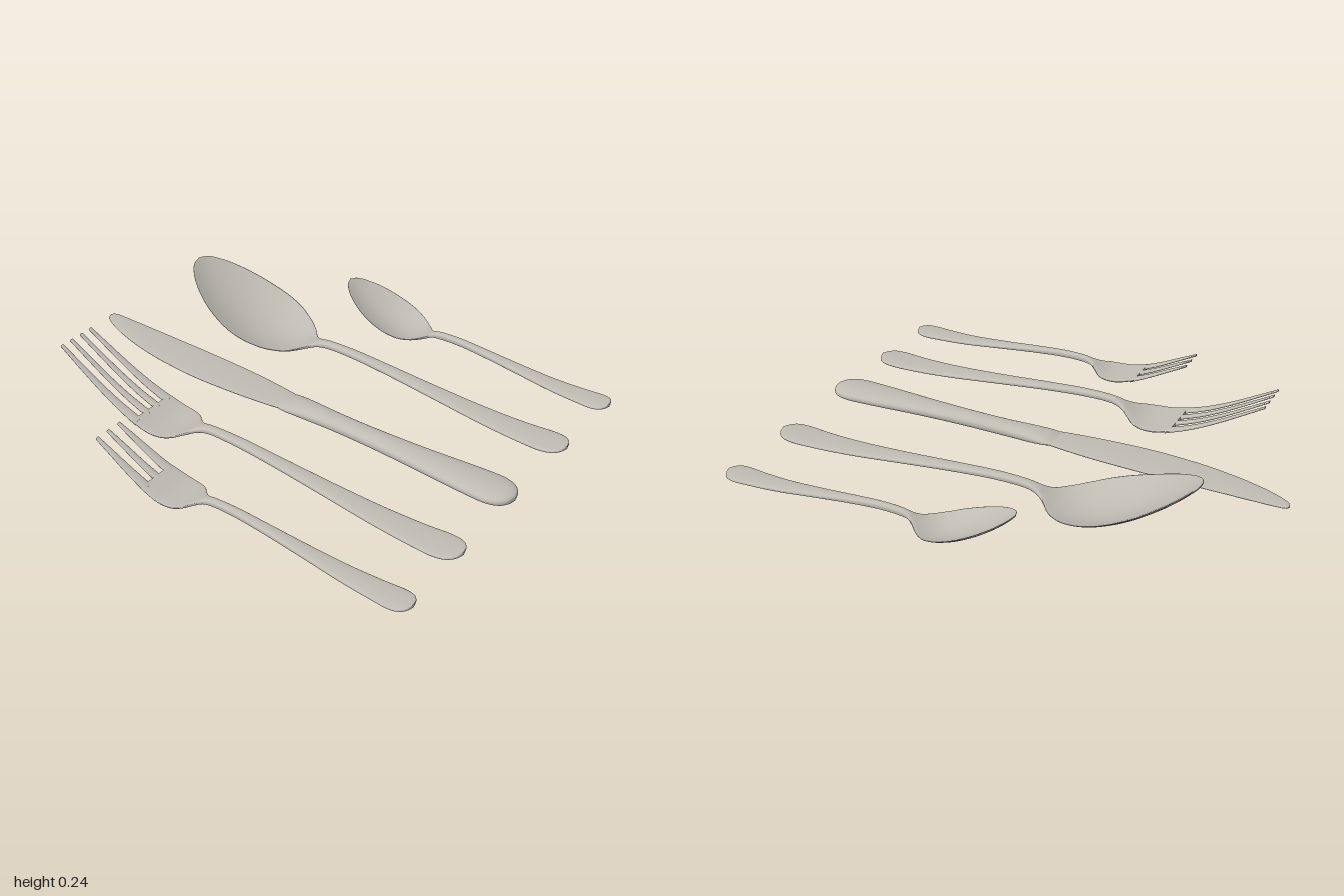
import * as THREE from 'three';

const steel = new THREE.MeshStandardMaterial({ color: 0xbfbbb3 });
steel.name = 'steel';

// Lofts a smooth solid through stations [z, halfWidth, y, thickness, cup, xOffset],
// listed from the near end (+z) to the far end (-z).
function loft(name, stations, { steps = 6, square = 0.65, sides = 36 } = {}) {
  const shape = new THREE.CatmullRomCurve3(
    stations.map(([z, w, y]) => new THREE.Vector3(w, y, z)), false, 'centripetal');
  const extra = new THREE.CatmullRomCurve3(
    stations.map(([, , , t, cup = 0, cx = 0]) => new THREE.Vector3(t, cup, cx)), false, 'catmullrom', 0.4);
  const pos = [], index = [];
  const n = (stations.length - 1) * steps;

  const addRing = (i) => {
    const p = shape.getPoint(i / n), e = extra.getPoint(i / n);
    const w = Math.max(p.x, 0.0005);
    for (let j = 0; j < sides; j++) {
      const a = (j / sides) * Math.PI * 2;
      const c = Math.cos(a), s = Math.sin(a);
      const rise = Math.sign(s) * Math.pow(Math.abs(s), square) * e.x / 2;
      pos.push(e.z + w * c, p.y + e.y * c * c + rise, p.z);
    }
  };

  for (let i = 0; i <= n; i++) addRing(i);
  for (let i = 0; i < n; i++) {
    for (let j = 0; j < sides; j++) {
      const k = (j + 1) % sides;
      const a = i * sides + j, b = i * sides + k;
      index.push(a, a + sides, b, b, a + sides, b + sides);
    }
  }
  // End caps with their own vertices; strips follow the cupped section
  for (const end of [0, n]) {
    const base = pos.length / 3;
    addRing(end);
    for (let j = 0; j < sides / 2; j++) {
      const a = base + j, b = base + j + 1;
      const c = base + (sides - j) % sides, d = base + sides - j - 1;
      if (end === 0) index.push(a, b, c, b, d, c);
      else index.push(a, c, b, b, c, d);
    }
  }
  const geo = new THREE.BufferGeometry();
  geo.setAttribute('position', new THREE.Float32BufferAttribute(pos, 3));
  geo.setIndex(index);
  geo.computeVertexNormals();
  const mesh = new THREE.Mesh(geo, steel);
  mesh.name = name;
  return mesh;
}

// Arched, flaring handle from the rounded end at z = 1 to the neck
function handleStations(neckZ, neckW, endW, peak) {
  const rows = [
    // distance along, flare, height, thickness
    [0, 0, 0.36, 0.014], [0.009, 0.5, 0.34, 0.016], [0.03, 0.84, 0.31, 0.018],
    [0.07, 1, 0.26, 0.019], [0.17, 0.87, 0.21, 0.02], [0.32, 0.64, 0.28, 0.021],
    [0.53, 0.34, 0.55, 0.023], [0.74, 0.12, 0.85, 0.026], [0.89, 0.02, 1, 0.028], [1, 0, 0.95, 0.028],
  ];
  return rows.map(([d, f, h, t], i) => [
    1 - d * (1 - neckZ),
    i < 3 ? endW * f : neckW + (endW - neckW) * f,
    Math.max(peak * h, t / 2 + 0.002), t,
  ]);
}

function piece(name, x, parts) {
  const g = new THREE.Group();
  g.name = name;
  g.position.x = x;
  g.add(...parts);
  return g;
}

// Tines: each is [rootX, rootHalf, tipX, tipHalf]; path is [z, y] from root to tip
function tines(list, path) {
  return list.map(([x0, w0, x1, w1]) => loft('tine', path.map(([z, y], i) => {
    const k = i / (path.length - 1);
    return [z, w0 + (w1 - w0) * k, y, 0.016 - 0.007 * k, 0, x0 + (x1 - x0) * k];
  }), { sides: 16, steps: 4 }));
}

const mirror = (list) => list.flatMap((t) => [t, [-t[0], t[1], -t[2], t[3]]]);

export function createModel() {
  const model = new THREE.Group();
  model.name = 'cutlerySet';

  // Large four-tined fork
  model.add(piece('dinnerFork', -0.412, [
    loft('forkBody', [
      ...handleStations(-0.11, 0.021, 0.068, 0.066),
      [-0.155, 0.03, 0.05, 0.025], [-0.19, 0.055, 0.034, 0.021, 0.003],
      [-0.23, 0.09, 0.019, 0.018, 0.006], [-0.27, 0.107, 0.012, 0.016, 0.008],
      [-0.33, 0.113, 0.016, 0.016, 0.006], [-0.4, 0.112, 0.036, 0.016, 0.003],
    ]),
    ...tines(mirror([[0.028, 0.016, 0.027, 0.008], [0.09, 0.022, 0.078, 0.008]]),
      [[-0.385, 0.032], [-0.48, 0.066], [-0.58, 0.113], [-0.68, 0.168], [-0.775, 0.222]]),
  ]));

  // Small three-tined fork
  model.add(piece('saladFork', -0.725, [
    loft('forkBody', [
      ...handleStations(0.17, 0.017, 0.055, 0.052),
      [0.13, 0.022, 0.042, 0.023], [0.1, 0.044, 0.029, 0.019, 0.002],
      [0.07, 0.072, 0.018, 0.016, 0.004], [0.04, 0.085, 0.012, 0.015, 0.005],
      [-0.02, 0.091, 0.015, 0.015, 0.004], [-0.1, 0.086, 0.038, 0.015, 0.002],
    ]),
    ...tines([[0, 0.017, 0, 0.008], ...mirror([[0.063, 0.022, 0.057, 0.008]])],
      [[-0.085, 0.033], [-0.17, 0.07], [-0.25, 0.11], [-0.325, 0.147]]),
  ]));

  // Large spoon
  model.add(piece('tableSpoon', 0.333, [
    loft('spoonBody', [
      ...handleStations(-0.1, 0.021, 0.068, 0.066),
      [-0.145, 0.028, 0.052, 0.025], [-0.18, 0.05, 0.036, 0.02, 0.004],
      [-0.23, 0.105, 0.018, 0.014, 0.016], [-0.29, 0.15, 0.009, 0.011, 0.034],
      [-0.36, 0.182, 0.012, 0.01, 0.05], [-0.44, 0.195, 0.03, 0.01, 0.057],
      [-0.53, 0.185, 0.066, 0.01, 0.055], [-0.62, 0.156, 0.118, 0.01, 0.044],
      [-0.7, 0.11, 0.175, 0.01, 0.028], [-0.75, 0.062, 0.218, 0.009, 0.012],
      [-0.768, 0.03, 0.235, 0.009, 0.003], [-0.773, 0, 0.24, 0.008, 0],
    ]),
  ]));

  // Small spoon
  model.add(piece('teaSpoon', 0.685, [
    loft('spoonBody', [
      ...handleStations(0.23, 0.016, 0.054, 0.052),
      [0.195, 0.019, 0.043, 0.022], [0.17, 0.034, 0.031, 0.018, 0.003],
      [0.135, 0.068, 0.018, 0.013, 0.011], [0.09, 0.101, 0.009, 0.01, 0.024],
      [0.04, 0.12, 0.012, 0.009, 0.035], [-0.02, 0.125, 0.028, 0.009, 0.04],
      [-0.08, 0.117, 0.055, 0.009, 0.037], [-0.14, 0.096, 0.09, 0.009, 0.029],
      [-0.19, 0.065, 0.126, 0.009, 0.016], [-0.22, 0.032, 0.152, 0.008, 0.005],
      [-0.231, 0, 0.161, 0.007, 0],
    ]),
  ]));

  // Knife: rounded handle and a thin blade with one bowed edge
  const bladeEdges = [
    // z, left edge, right edge
    [0.03, -0.108, -0.006], [-0.02, -0.118, 0.001], [-0.1, -0.128, 0.011], [-0.2, -0.137, 0.021],
    [-0.4, -0.145, 0.03], [-0.6, -0.131, 0.033], [-0.75, -0.104, 0.034], [-0.87, -0.07, 0.034],
    [-0.94, -0.042, 0.034], [-0.98, -0.02, 0.032], [-0.995, -0.006, 0.026], [-1, 0.009, 0.011],
  ];
  model.add(piece('knife', 0, [
    loft('knifeHandle', [
      [1, 0, 0.033, 0.016, 0, -0.06], [0.99, 0.036, 0.033, 0.032, 0, -0.06],
      [0.965, 0.064, 0.033, 0.046, 0, -0.06], [0.92, 0.079, 0.033, 0.052, 0, -0.06],
      [0.82, 0.077, 0.033, 0.054, 0, -0.06], [0.6, 0.059, 0.033, 0.054, 0, -0.06],
      [0.4, 0.047, 0.033, 0.054, 0, -0.058], [0.22, 0.045, 0.033, 0.054, 0, -0.056],
      [0.08, 0.053, 0.034, 0.05, 0, -0.056], [0.01, 0.058, 0.034, 0.034, 0, -0.058],
      [-0.03, 0.055, 0.034, 0.012, 0, -0.058],
    ], { square: 0.85 }),
    loft('knifeBlade', bladeEdges.map(([z, l, r]) =>
      [z, (r - l) / 2, 0.035, z < -0.9 ? 0.008 : 0.012, 0, (l + r) / 2]), { square: 0.8 }),
  ]));

  return model;
}
